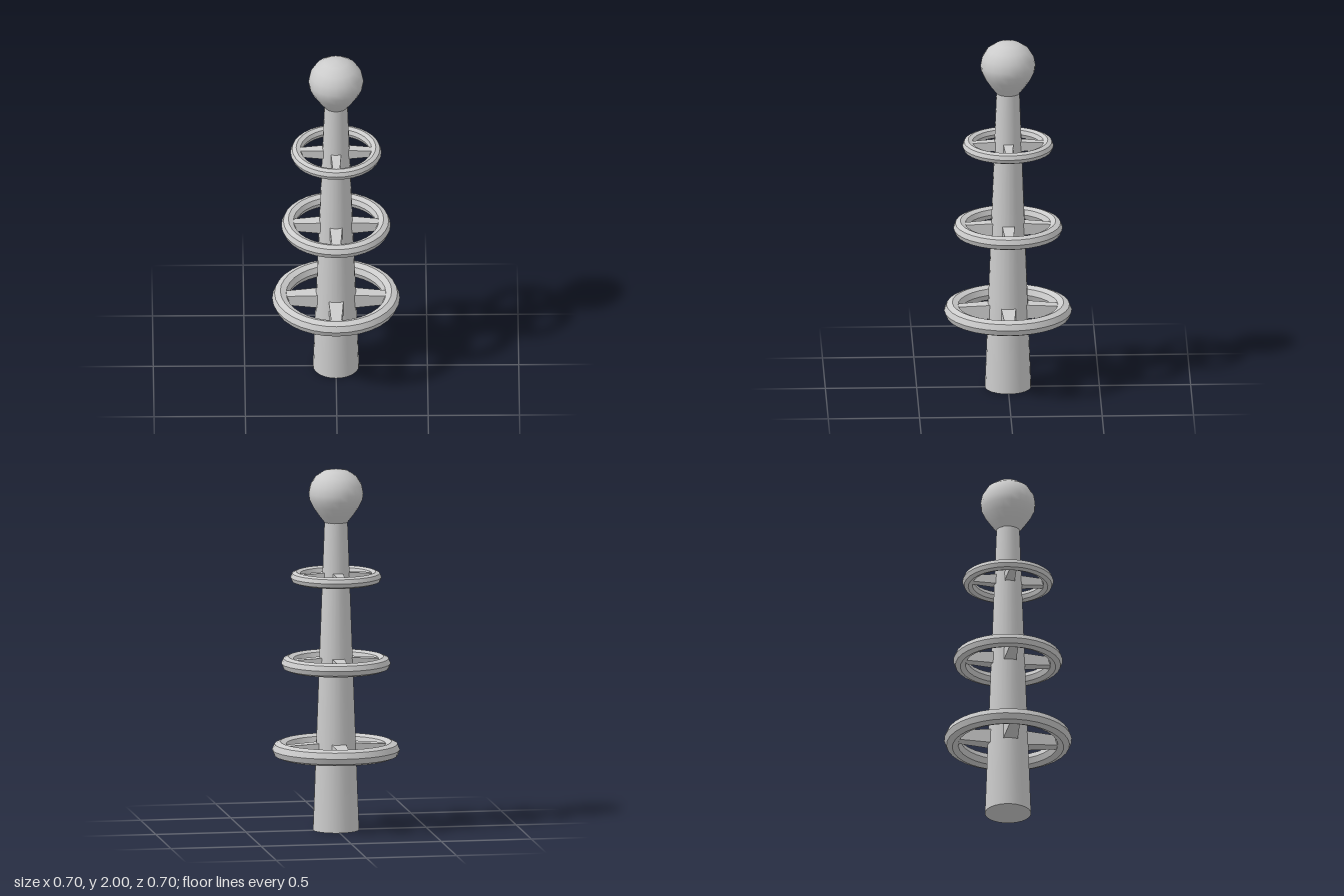
import * as THREE from 'three';
import { toCreasedNormals } from 'three/addons/utils/BufferGeometryUtils.js';

const material = new THREE.MeshStandardMaterial({ color: 0xcccccc });

function addMesh(parent, name, geometry) {
  const mesh = new THREE.Mesh(geometry, material);
  mesh.name = name;
  parent.add(mesh);
  return mesh;
}

// Square bar running along +z, narrowing from the mast to the ring
function spokeGeometry(start, end, innerHalf, outerHalf) {
  const geometry = new THREE.BoxGeometry(2, 2, end - start);
  geometry.translate(0, 0, (start + end) / 2);
  const p = geometry.attributes.position;
  for (let i = 0; i < p.count; i++) {
    const half = p.getZ(i) > (start + end) / 2 ? outerHalf : innerHalf;
    p.setXY(i, p.getX(i) * half, p.getY(i) * half);
  }
  geometry.computeVertexNormals();
  return geometry;
}

// Octagonal-section ring held by four spokes
function createRing({ name, y, radius, tube, hub }) {
  const ring = new THREE.Group();
  ring.name = name;
  ring.position.y = y;
  const torus = new THREE.TorusGeometry(radius, tube, 8, 32).rotateX(Math.PI / 2);
  addMesh(ring, 'rim', toCreasedNormals(torus, Math.PI / 6));
  const geometry = spokeGeometry(hub - 0.03, radius, tube * 0.92, tube * 0.58);
  for (let i = 0; i < 4; i++) {
    addMesh(ring, 'spoke', geometry).rotation.y = i * Math.PI / 2;
  }
  return ring;
}

export function createModel() {
  const model = new THREE.Group();
  model.name = 'ringedMast';

  // Tapered mast
  const mastHeight = 1.71, bottomRadius = 0.127, topRadius = 0.0635;
  const mast = new THREE.CylinderGeometry(topRadius, bottomRadius, mastHeight, 24);
  addMesh(model, 'mast', mast.translate(0, mastHeight / 2, 0));

  // Three rings, shrinking upwards
  const rings = [
    { name: 'lowerRing', y: 0.445, radius: 0.305, tube: 0.045 },
    { name: 'middleRing', y: 0.923, radius: 0.261, tube: 0.0385 },
    { name: 'upperRing', y: 1.4, radius: 0.218, tube: 0.0315 },
  ];
  for (const ring of rings) {
    const hub = THREE.MathUtils.lerp(bottomRadius, topRadius, ring.y / mastHeight);
    model.add(createRing({ ...ring, hub }));
  }

  // Rounded knob, drawn in towards the mast
  const profile = [
    [0, 1.705], [0.0635, 1.705], [0.095, 1.745], [0.126, 1.79], [0.146, 1.832],
    [0.151, 1.865], [0.142, 1.912], [0.114, 1.957], [0.066, 1.989], [0, 2],
  ].map(([r, y]) => new THREE.Vector2(r, y));
  addMesh(model, 'knob', toCreasedNormals(new THREE.LatheGeometry(profile, 20), 0.9));

  return model;
}
